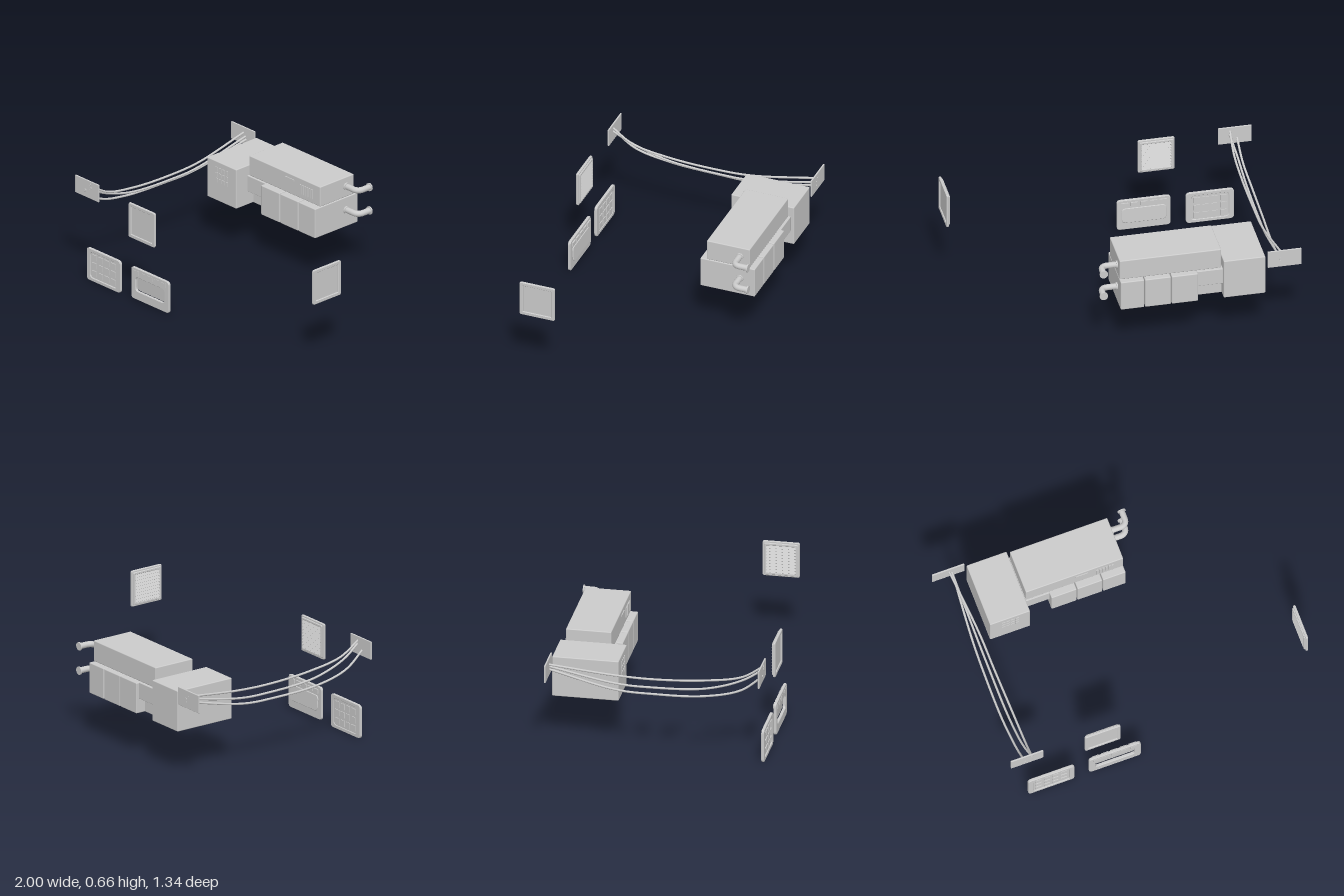
import * as THREE from 'three';
import { RoundedBoxGeometry } from 'three/addons/geometries/RoundedBoxGeometry.js';

const mat = new THREE.MeshStandardMaterial({ color: 0xcccccc, side: THREE.DoubleSide });

function add(parent, name, geo) {
  const m = new THREE.Mesh(geo, mat);
  m.name = name;
  parent.add(m);
  return m;
}

// Box given by its min and max corners, with a small edge radius
function box(parent, name, x0, x1, y0, y1, z0, z1, r = 0) {
  const s = [x1 - x0, y1 - y0, z1 - z0];
  const geo = r ? new RoundedBoxGeometry(...s, 2, r) : new THREE.BoxGeometry(...s);
  const m = add(parent, name, geo);
  m.position.set((x0 + x1) / 2, (y0 + y1) / 2, (z0 + z1) / 2);
  return m;
}

function roundRect(P, w, h, r) {
  const p = new P(), x = w / 2, y = h / 2;
  p.moveTo(-x + r, -y);
  p.lineTo(x - r, -y).quadraticCurveTo(x, -y, x, -y + r);
  p.lineTo(x, y - r).quadraticCurveTo(x, y, x - r, y);
  p.lineTo(-x + r, y).quadraticCurveTo(-x, y, -x, y - r);
  p.lineTo(-x, -y + r).quadraticCurveTo(-x, -y, -x + r, -y);
  return p;
}

// Rounded plate of size w x h, spanning z = 0..depth, with an optional rounded opening
function plate(w, h, r, depth, hole) {
  const b = 0.003;
  const s = roundRect(THREE.Shape, w - 2 * b, h - 2 * b, r);
  if (hole) {
    const p = roundRect(THREE.Path, hole.w, hole.h, hole.r);
    s.holes.push(new THREE.Path(p.getPoints(6).map(v => v.add(new THREE.Vector2(0, hole.y || 0)))));
  }
  return new THREE.ExtrudeGeometry(s, {
    depth: depth - 2 * b, bevelThickness: b, bevelSize: b, bevelSegments: 1, curveSegments: 6,
  }).translate(0, 0, b);
}

function buttonGrid(parent, cols, rows, x0, x1, y0, y1, z0, z1, fill) {
  const dx = (x1 - x0) / cols, dy = (y1 - y0) / rows;
  for (let i = 0; i < cols; i++) for (let j = 0; j < rows; j++) {
    const cx = x0 + dx * (i + 0.5), cy = y0 + dy * (j + 0.5);
    box(parent, 'button', cx - dx * fill / 2, cx + dx * fill / 2,
      cy - dy * fill / 2, cy + dy * fill / 2, z0, z1);
  }
}

// Square louvre with slats on its -z side and a shallow recess on its +z side
function vent() {
  const g = new THREE.Group();
  g.name = 'vent';
  add(g, 'ventFrame', plate(0.23, 0.23, 0.008, 0.016, { w: 0.19, h: 0.19, r: 0.004 }));
  add(g, 'ventRim', plate(0.21, 0.21, 0.006, 0.012, { w: 0.184, h: 0.184, r: 0.004 })).position.z = -0.008;
  box(g, 'ventBacking', -0.097, 0.097, -0.097, 0.097, 0.004, 0.009);
  for (let i = 0; i < 9; i++) {
    const y = -0.08 + i * 0.02;
    const s = box(g, 'slat', -0.093, 0.093, y - 0.009, y + 0.009, -0.006, -0.002);
    s.rotation.x = 0.6;
  }
  return g;
}

// Pipe leaving the +x end, turning back and ending in a flared lip
function pipe(parent, y) {
  const path = new THREE.CurvePath();
  const v = (x, z) => new THREE.Vector3(x, y, z);
  path.add(new THREE.LineCurve3(v(0.11, -0.565), v(0.185, -0.565)));
  path.add(new THREE.QuadraticBezierCurve3(v(0.185, -0.565), v(0.23, -0.565), v(0.23, -0.61)));
  path.add(new THREE.LineCurve3(v(0.23, -0.61), v(0.23, -0.66)));
  add(parent, 'pipe', new THREE.TubeGeometry(path, 30, 0.019, 16));
  const lip = add(parent, 'pipeLip', new THREE.CylinderGeometry(0.026, 0.026, 0.008, 20));
  lip.rotation.x = Math.PI / 2;
  lip.position.set(0.23, y, -0.66);
  const collar = add(parent, 'pipeCollar', new THREE.CylinderGeometry(0.024, 0.024, 0.012, 20));
  collar.rotation.z = Math.PI / 2;
  collar.position.set(0.129, y, -0.565);
}

export function createModel() {
  const model = new THREE.Group();

  // Main machine
  const machine = new THREE.Group();
  machine.name = 'machine';
  model.add(machine);
  box(machine, 'controlCabinet', -0.777, -0.517, 0.3, 0.563, -0.663, -0.25, 0.006);
  box(machine, 'upperHousing', -0.508, 0.125, 0.499, 0.632, -0.63, -0.348, 0.006);
  [[-0.357, -0.193], [-0.188, -0.027], [-0.022, 0.125]].forEach(([a, b]) =>
    box(machine, 'lowerModule', a, b, 0.3, 0.497, -0.663, -0.305, 0.006));
  box(machine, 'upperConnector', -0.517, -0.355, 0.393, 0.498, -0.643, -0.34, 0.004);
  box(machine, 'lowerConnector', -0.517, -0.355, 0.302, 0.393, -0.6, -0.39, 0.004);
  buttonGrid(machine, 4, 3, -0.705, -0.585, 0.42, 0.53, -0.252, -0.246, 0.75);
  for (let i = 0; i < 6; i++) {
    const x = -0.045 + i * 0.02;
    box(machine, 'grilleBar', x - 0.005, x + 0.005, 0.53, 0.595, -0.35, -0.341);
  }
  box(machine, 'statusStrip', -0.185, -0.105, 0.594, 0.604, -0.35, -0.343);
  [0.57, 0.413].forEach(y => pipe(machine, y));

  // Cables strung between two wall plates
  const wiring = new THREE.Group();
  wiring.name = 'wiring';
  model.add(wiring);
  box(wiring, 'frontWallPlate', -0.98, -0.77, 0.547, 0.663, 0.652, 0.662, 0.003);
  box(wiring, 'backWallPlate', -1, -0.79, 0.482, 0.597, -0.67, -0.66, 0.003);
  [
    [[-0.845, 0.642, 0.665], [-0.84, 0.555, 0.53], [-0.84, 0.512, 0.3], [-0.845, 0.495, 0], [-0.85, 0.503, -0.25], [-0.89, 0.56, -0.671]],
    [[-0.84, 0.62, 0.665], [-0.86, 0.54, 0.53], [-0.868, 0.47, 0.3], [-0.868, 0.45, -0.05], [-0.868, 0.458, -0.25], [-0.872, 0.54, -0.671]],
    [[-0.888, 0.592, 0.665], [-0.895, 0.49, 0.53], [-0.905, 0.436, 0.3], [-0.903, 0.423, -0.02], [-0.895, 0.43, -0.25], [-0.868, 0.52, -0.671]],
  ].forEach(pts => {
    const curve = new THREE.CatmullRomCurve3(pts.map(p => new THREE.Vector3(...p)));
    add(wiring, 'cable', new THREE.TubeGeometry(curve, 60, 0.007, 10));
    [pts[0], pts[5]].forEach(p => {
      const plug = add(wiring, 'cablePlug', new THREE.CylinderGeometry(0.009, 0.009, 0.008, 12));
      plug.rotation.x = Math.PI / 2;
      plug.position.set(p[0], p[1], p[2] - Math.sign(p[2]) * 0.003);
    });
  });

  // Keypad panel
  const keypad = new THREE.Group();
  keypad.name = 'keypadPanel';
  keypad.position.set(-0.72, 0.113, 0.652);
  model.add(keypad);
  add(keypad, 'keypadFrame', plate(0.3, 0.215, 0.022, 0.018, { w: 0.24, h: 0.175, r: 0.025 }));
  add(keypad, 'keypadFloor', plate(0.25, 0.185, 0.025, 0.008)).position.z = 0.003;
  buttonGrid(keypad, 4, 3, -0.11, 0.11, -0.08, 0.08, -0.002, 0.016, 0.7);

  // Display panel with a tilted screen and a row of keys
  const display = new THREE.Group();
  display.name = 'displayPanel';
  display.position.set(-0.307, 0.12, 0.652);
  model.add(display);
  add(display, 'displayFrame', plate(0.335, 0.21, 0.02, 0.018, { w: 0.26, h: 0.098, r: 0.025, y: -0.002 }));
  const screen = add(display, 'screen', plate(0.28, 0.1, 0.025, 0.008));
  screen.position.set(0, -0.002, -0.008);
  screen.rotation.x = 0.07;
  buttonGrid(display, 5, 1, -0.15, 0.15, 0.058, 0.092, -0.008, 0.02, 0.75);

  // Louvred vents, one on the front wall and one on the left wall
  const frontVent = vent();
  frontVent.position.set(-0.385, 0.527, 0.652);
  const sideVent = vent();
  sideVent.rotation.y = Math.PI / 2;
  sideVent.position.set(0.984, 0.527, 0.415);
  model.add(frontVent, sideVent);

  return model;
}
